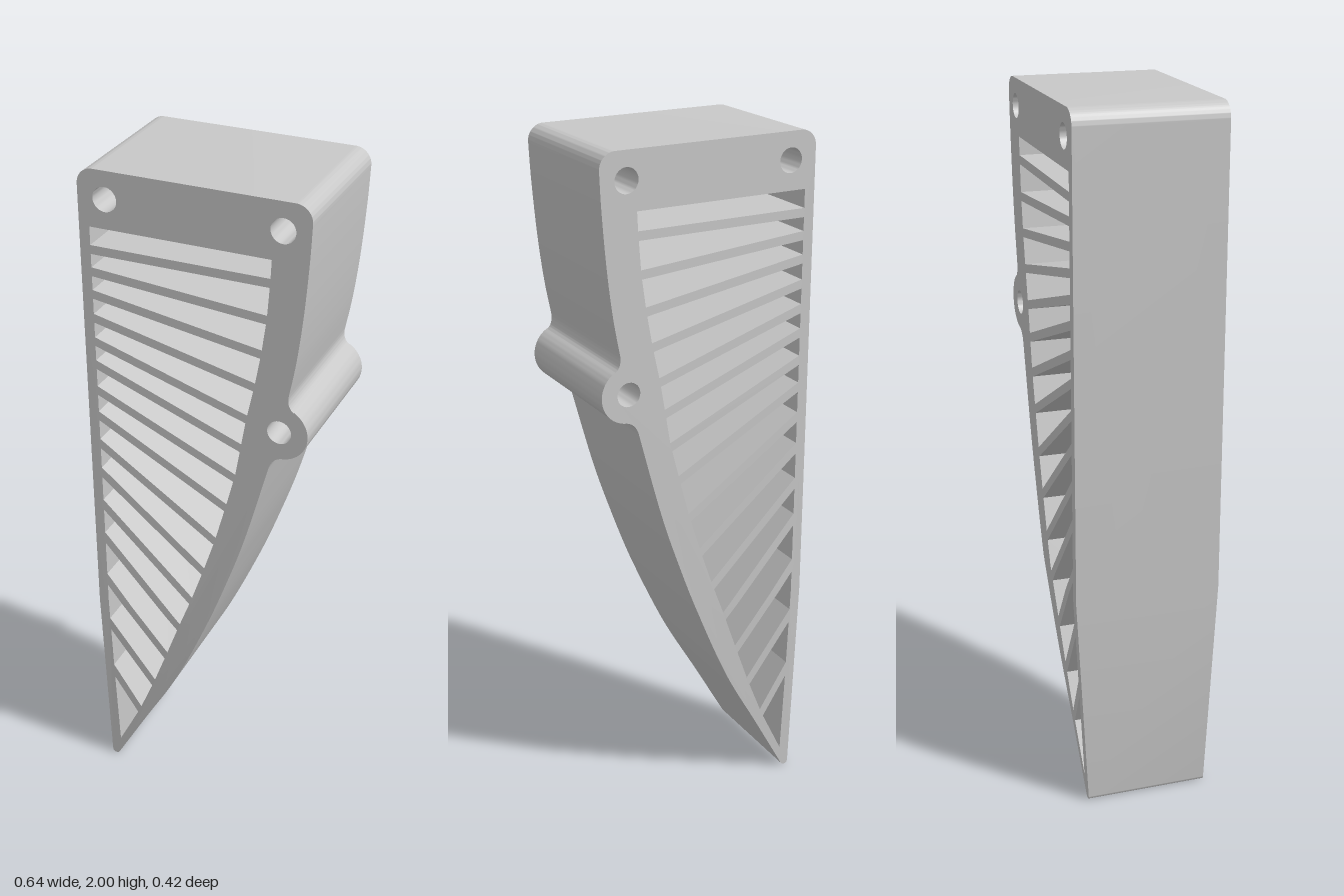
import * as THREE from 'three';
import { toCreasedNormals } from 'three/addons/utils/BufferGeometryUtils.js';

const HALF = 0.21, TIP_HALF = 0.177, FOLD = 0.64; // depth, narrowing below the fold height
const LEFT = -0.293, TOP = 1.842;                 // limits of the ribbed opening
const RIB = 0.0125;                               // half rib thickness

// Curved inner edge of the opening, as [x, y]
const inner = [[0.213, 1.842], [0.21, 1.78], [0.202, 1.675], [0.188, 1.574], [0.17, 1.474],
  [0.148, 1.373], [0.117, 1.19], [0.088, 1.077], [0.055, 0.955], [0.018, 0.839], [-0.022, 0.722],
  [-0.064, 0.611], [-0.111, 0.484], [-0.159, 0.357], [-0.214, 0.225], [-0.291, 0.07]];

// Rib heights as [left end, right end]
const ribs = [[1.778, 1.778], [1.715, 1.675], [1.65, 1.574], [1.58, 1.474], [1.51, 1.373],
  [1.44, 1.28], [1.36, 1.18], [1.28, 1.077], [1.19, 0.955], [1.095, 0.839], [0.985, 0.722],
  [0.87, 0.611], [0.72, 0.484], [0.55, 0.357], [0.36, 0.225]];

function innerX(y) {
  for (let i = 1; i < inner.length; i++) {
    const [x0, y0] = inner[i - 1], [x1, y1] = inner[i];
    if (y >= y1 || i === inner.length - 1) return x0 + (x1 - x0) * (y - y0) / (y1 - y0);
  }
}

// Both ends of a rib's upper (+1) or lower (-1) edge
function ribEdge([yl, yr], side) {
  const slope = (yr - yl) / (innerX(yr) - LEFT);
  const y0 = yl + side * RIB * Math.hypot(1, slope);
  let y = yr;
  for (let i = 0; i < 50; i++) y = y0 + slope * (innerX(y) - LEFT);
  return [new THREE.Vector2(LEFT, y0), new THREE.Vector2(innerX(y), y)];
}

// Cuts every triangle along the fold height, so the narrowing starts on a clean line
function cutAtFold(geo) {
  const pos = geo.attributes.position, out = [];
  for (let i = 0; i < pos.count; i += 3) {
    const tri = [0, 1, 2].map(k => new THREE.Vector3().fromBufferAttribute(pos, i + k));
    for (const side of [1, -1]) {
      const poly = [];
      tri.forEach((p, k) => {
        const q = tri[(k + 1) % 3], dp = (p.y - FOLD) * side, dq = (q.y - FOLD) * side;
        if (dp >= 0) poly.push(p);
        if (dp * dq < 0) poly.push(p.clone().lerp(q, dp / (dp - dq)));
      });
      for (let k = 2; k < poly.length; k++) out.push(poly[0], poly[k - 1], poly[k]);
    }
  }
  return new THREE.BufferGeometry().setFromPoints(out);
}

export function createModel() {
  const grey = new THREE.MeshStandardMaterial({ color: 0xc8c8c8 });
  grey.name = 'grey';
  const v = (x, y) => new THREE.Vector2(x, y);

  // Outer outline, clockwise from the top left
  const s = new THREE.Shape();
  s.moveTo(-0.323, 1.955);
  s.absarc(-0.278, 1.955, 0.045, Math.PI, Math.PI / 2, true);
  s.lineTo(0.273, 2);
  s.absarc(0.273, 1.955, 0.045, Math.PI / 2, 0, true);
  s.splineThru([v(0.313, 1.85), v(0.301, 1.7), v(0.285, 1.57), v(0.266, 1.465)]);
  // Side lug with blended corners
  s.quadraticCurveTo(0.263, 1.435, 0.282, 1.4225);
  s.absarc(0.242, 1.355, 0.08, Math.PI / 3, -Math.PI * 0.444, true);
  s.quadraticCurveTo(0.223, 1.273, 0.213, 1.235);
  // Long sweep down to the rounded tip
  s.splineThru([v(0.15, 1.0), v(0.098, 0.839), v(0.024, FOLD), v(-0.082, 0.4),
    v(-0.193, 0.2), v(-0.297, 0.012)]);
  s.quadraticCurveTo(-0.303, 0, -0.31, 0);
  s.quadraticCurveTo(-0.323, 0, -0.323, 0.015);
  s.closePath();

  // Bolt holes
  for (const [x, y] of [[-0.246, 1.923], [0.242, 1.923], [0.242, 1.355]])
    s.holes.push(new THREE.Path().absarc(x, y, 0.034, 0, Math.PI * 2, false));

  // Slots between neighbouring ribs, counter-clockwise
  for (let i = 0; i <= ribs.length; i++) {
    const [a, b] = i === 0 ? [v(LEFT, TOP), v(0.213, TOP)] : ribEdge(ribs[i - 1], -1);
    const low = i === ribs.length ? [v(-0.291, 0.07)] : ribEdge(ribs[i], 1);
    s.holes.push(new THREE.Path([b, a, ...low]));
  }

  const solid = new THREE.ExtrudeGeometry(s, { depth: 2 * HALF, bevelEnabled: false, curveSegments: 14 });
  const geo = cutAtFold(solid.translate(0, 0, -HALF));

  // Narrow the depth towards the tip
  const pos = geo.attributes.position;
  for (let i = 0; i < pos.count; i++) {
    const t = Math.min(1, pos.getY(i) / FOLD);
    pos.setZ(i, pos.getZ(i) / HALF * (TIP_HALF + (HALF - TIP_HALF) * t));
  }

  const body = new THREE.Mesh(toCreasedNormals(geo, 0.5), grey);
  body.name = 'ribbedBracket';
  const group = new THREE.Group();
  group.name = 'bracket';
  group.add(body);
  return group;
}
